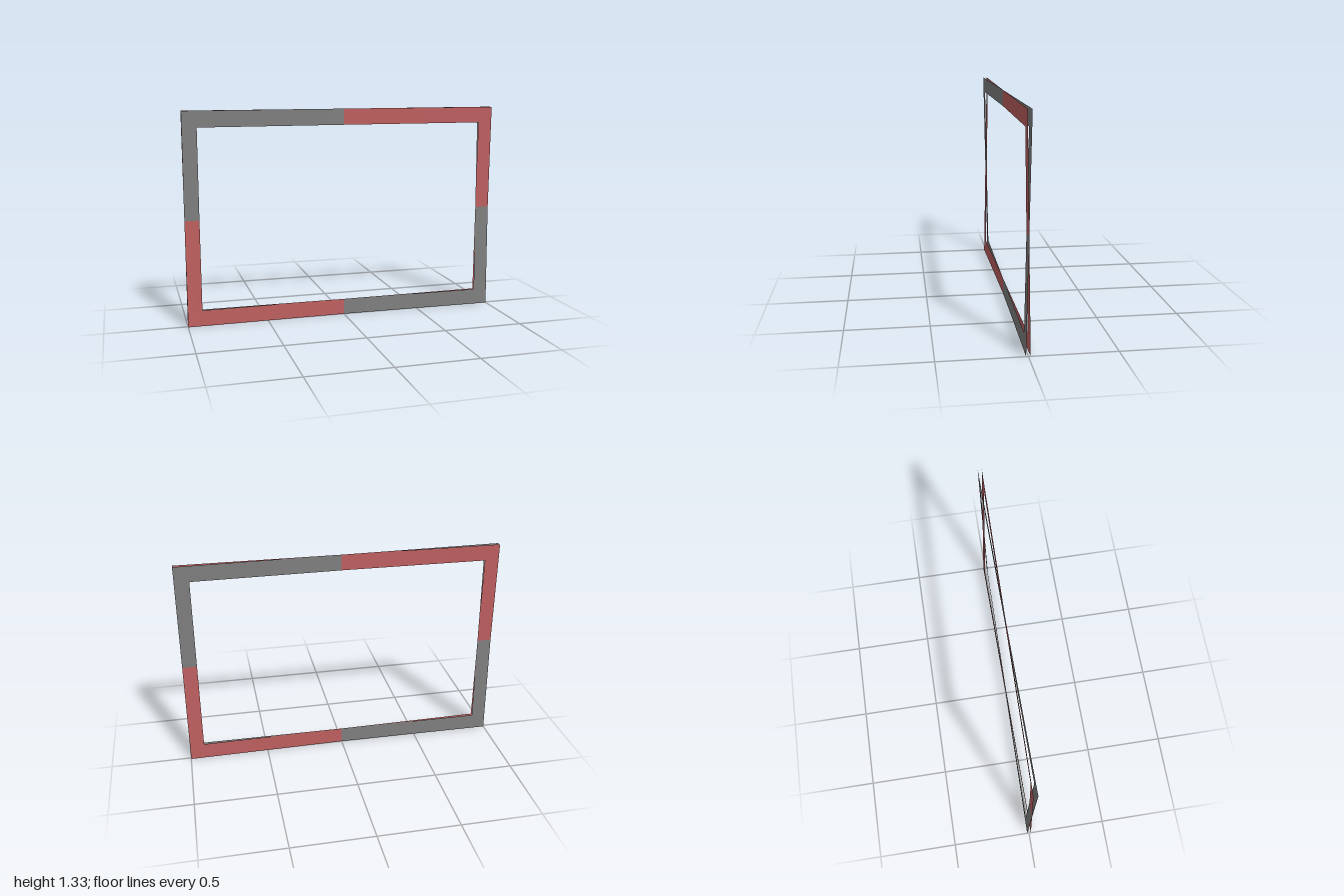
import * as THREE from 'three';

const WIDTH = 2, HEIGHT = 1.325; // outer size
const RAIL = 0.1, STILE = 0.09;  // widths of the horizontal and vertical bars
const CORNER = 0.0125;           // how far each corner bends out of plane

// Flat strip bent onto a shallow saddle: z grows with x times y
function makeStrip(name, width, height, x, y, bend, material) {
  const geometry = new THREE.PlaneGeometry(width, height, Math.ceil(width * 12), Math.ceil(height * 12));
  geometry.translate(x, y, 0);
  const p = geometry.attributes.position;
  const k = bend / ((WIDTH / 2) * (HEIGHT / 2));
  for (let i = 0; i < p.count; i++) p.setZ(i, k * p.getX(i) * p.getY(i));
  geometry.computeVertexNormals();
  const mesh = new THREE.Mesh(geometry, material);
  mesh.name = name;
  return mesh;
}

// One thin rectangular frame, twisted one way or the other
function makeFrame(name, bend, color) {
  const frame = new THREE.Group();
  frame.name = name;
  const material = new THREE.MeshStandardMaterial({ color, side: THREE.DoubleSide });
  const railY = (HEIGHT - RAIL) / 2, stileX = (WIDTH - STILE) / 2;
  for (const s of [1, -1]) {
    frame.add(
      makeStrip(s > 0 ? 'topRail' : 'bottomRail', WIDTH, RAIL, 0, s * railY, bend, material),
      makeStrip(s > 0 ? 'leftStile' : 'rightStile', STILE, HEIGHT - 2 * RAIL, s * stileX, 0, bend, material)
    );
  }
  frame.position.y = HEIGHT / 2;
  return frame;
}

export function createModel() {
  const model = new THREE.Group();
  model.name = 'twistedFrames';
  // Two oppositely twisted frames that cross at the middle of every bar
  model.add(makeFrame('redFrame', CORNER, 0xc06060));
  model.add(makeFrame('greyFrame', -CORNER, 0x808080));
  return model;
}
